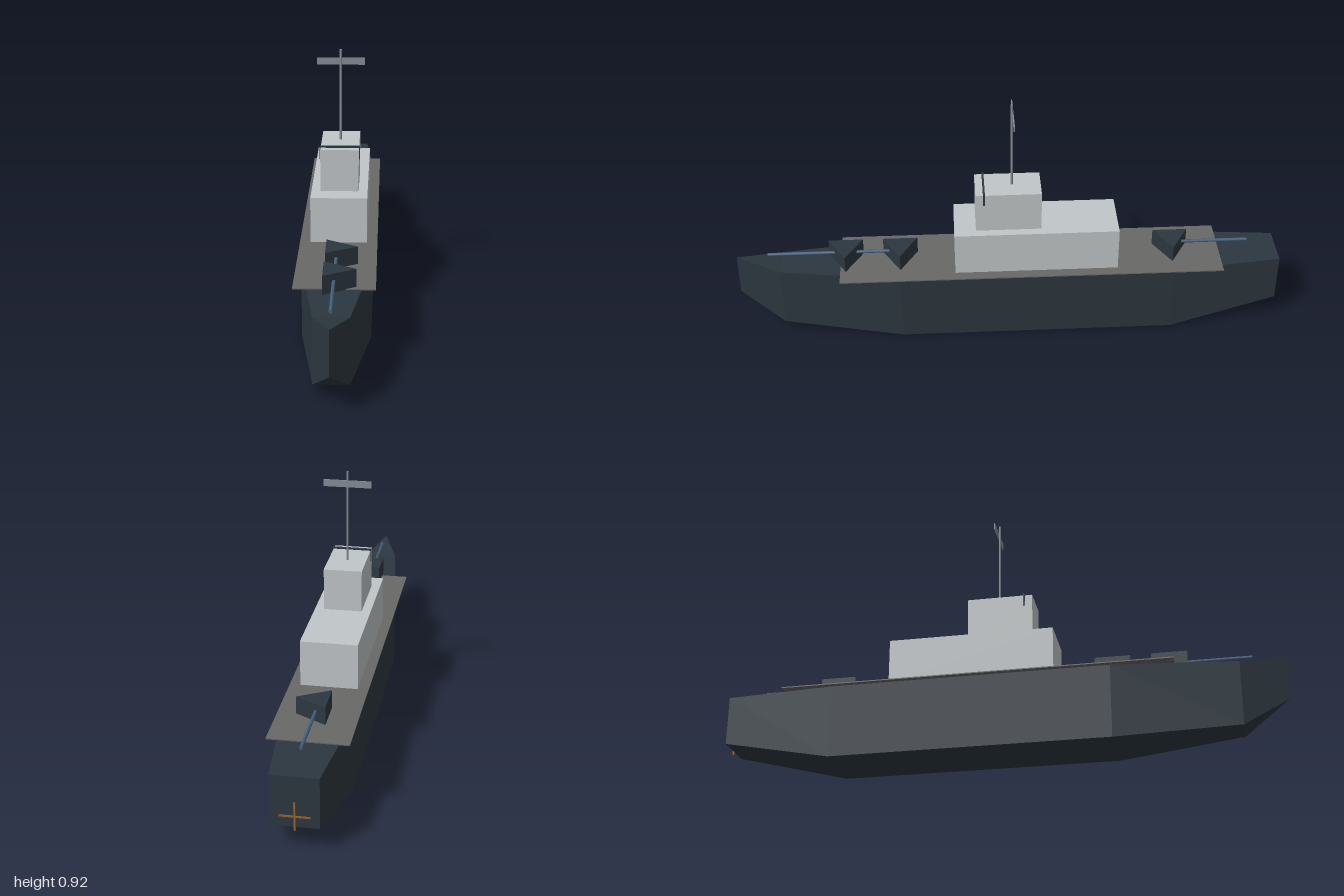
import * as THREE from 'three';

const mat = (name, color) => {
  const m = new THREE.MeshStandardMaterial({ color });
  m.name = name;
  return m;
};

// Hull skin from cross-sections [z, halfWidth, bottomY, topY], bow to stern
function hullGeometry(sections) {
  const pos = [], idx = [];
  for (const [z, w, b, t] of sections) pos.push(-w, b, z, w, b, z, w, t, z, -w, t, z);
  for (let s = 0; s < sections.length - 1; s++) {
    for (let k = 0; k < 4; k++) {
      const a = s * 4 + k, b = s * 4 + (k + 1) % 4;
      idx.push(a, a + 4, b, b, a + 4, b + 4);
    }
  }
  const e = (sections.length - 1) * 4;
  idx.push(e, e + 2, e + 1, e, e + 3, e + 2); // transom
  const indexed = new THREE.BufferGeometry();
  indexed.setAttribute('position', new THREE.Float32BufferAttribute(pos, 3));
  indexed.setIndex(idx);
  const g = indexed.toNonIndexed();
  g.computeVertexNormals();
  return g;
}

export function createModel() {
  const ship = new THREE.Group();
  ship.name = 'warship';

  const hullPaint = mat('dark slate', 0x2c373f);
  const deckPaint = mat('deck grey', 0x686867);
  const housePaint = mat('light grey', 0xc1c6c8);
  const mastPaint = mat('mast grey', 0x858d95);
  const gunPaint = mat('gun blue', 0x44617d);
  const bronze = mat('bronze', 0x9a6027);

  const add = (parent, name, geometry, material, x, y, z) => {
    const m = new THREE.Mesh(geometry, material);
    m.name = name;
    m.position.set(x, y, z);
    parent.add(m);
    return m;
  };
  const box = (name, material, w, h, d, x, y, z) =>
    add(ship, name, new THREE.BoxGeometry(w, h, d), material, x, y, z);

  // Hull and overhanging deck
  add(ship, 'hull', hullGeometry([
    [1, 0, 0.14, 0.297],
    [0.84, 0.06, 0.035, 0.268],
    [0.4, 0.12, 0, 0.265],
    [-0.6, 0.12, 0, 0.265],
    [-0.997, 0.08, 0.09, 0.268],
  ]), hullPaint, 0, 0, 0);
  box('deck', deckPaint, 0.274, 0.004, 1.4, 0, 0.268, -0.08);

  // Superstructure
  box('deckhouse', housePaint, 0.2, 0.166, 0.594, 0, 0.352, -0.097);
  box('bridge', housePaint, 0.136, 0.155, 0.236, 0, 0.51, 0.004);
  box('bridgeBand', hullPaint, 0.143, 0.048, 0.007, 0, 0.57, 0.092);

  // Mast and radar
  add(ship, 'mast', new THREE.CylinderGeometry(0.004, 0.004, 0.34, 8), mastPaint, 0, 0.75, -0.01);
  box('radar', mastPaint, 0.17, 0.025, 0.004, 0, 0.876, -0.014);

  // Three-sided turrets with one barrel each: [z, firing direction]
  for (const [z, dir] of [[0.6, 1], [0.4, 1], [-0.6, -1]]) {
    const gun = new THREE.Group();
    gun.name = 'gunTurret';
    gun.position.set(0, 0.3, z);
    const house = new THREE.CylinderGeometry(0.073, 0.073, 0.066, 3).toNonIndexed();
    house.computeVertexNormals();
    add(gun, 'turretHouse', house, hullPaint, 0, 0, 0).rotation.y = Math.PI / 2;
    add(gun, 'barrel', new THREE.CylinderGeometry(0.006, 0.006, 0.285, 8), gunPaint,
      0, 0.005, dir * 0.1425).rotation.x = Math.PI / 2;
    ship.add(gun);
  }

  // Crossed propeller blades on the transom
  box('propellerBladeUpright', bronze, 0.006, 0.1, 0.006, 0, 0.127, -0.997);
  box('propellerBladeLevel', bronze, 0.1, 0.006, 0.006, 0, 0.127, -0.997);

  return ship;
}
